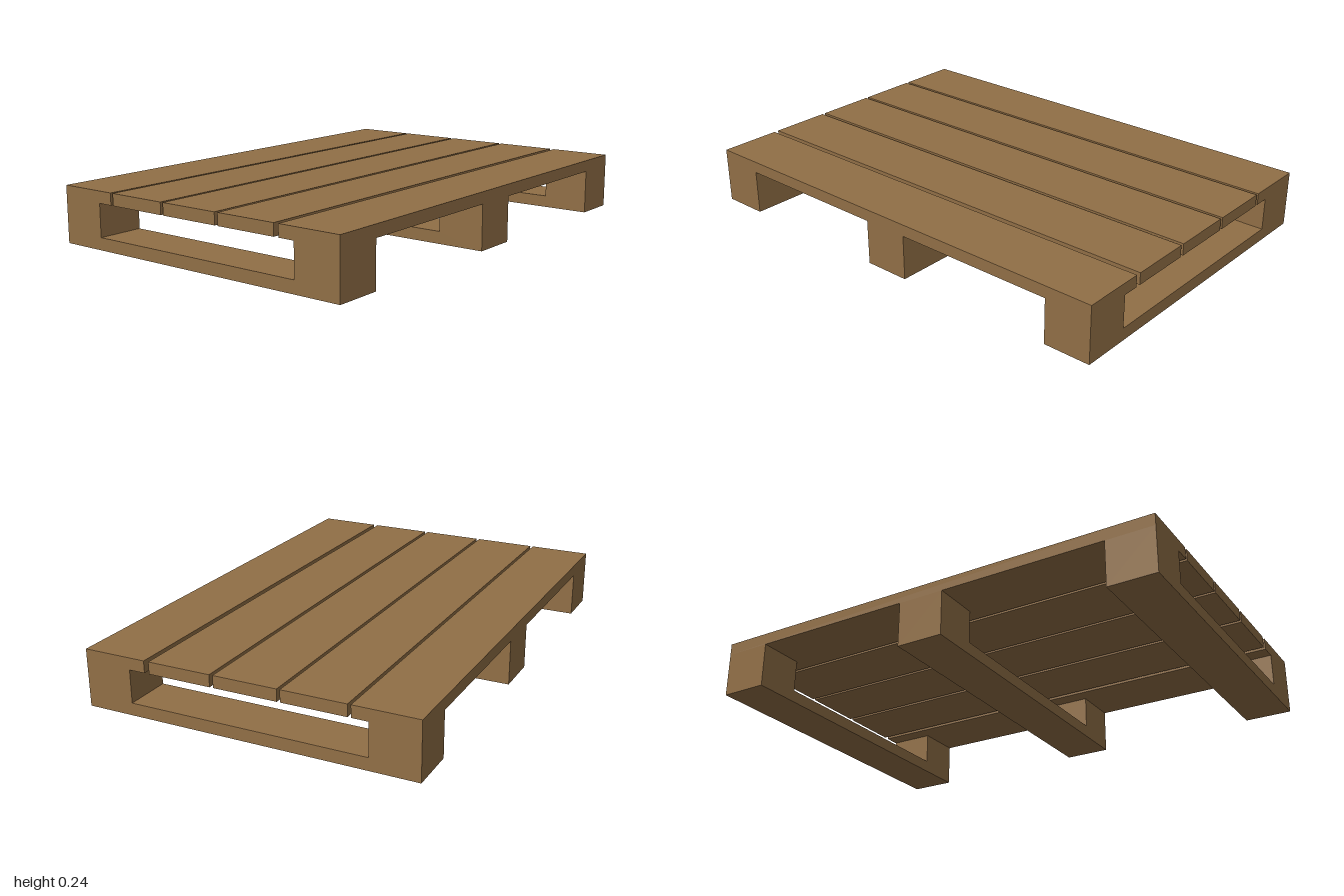
import * as THREE from 'three';

export function createModel() {
  const group = new THREE.Group();
  group.name = 'pallet';

  const wood = new THREE.MeshStandardMaterial({ color: 0x916f46 });
  wood.name = 'wood brown';

  const deckBottom = 0.19, deckTop = 0.24;

  // Deck boards running front to back: [left edge, right edge]
  const boards = [[-0.7, -0.433], [-0.42, -0.153], [-0.14, 0.127], [0.142, 0.41], [0.431, 0.7]];
  boards.forEach(([x0, x1], i) => {
    const board = new THREE.Mesh(new THREE.BoxGeometry(x1 - x0, deckTop - deckBottom, 2), wood);
    board.position.set((x0 + x1) / 2, (deckBottom + deckTop) / 2, 0);
    board.name = `deckBoard${i + 1}`;
    group.add(board);
  });

  // U-shaped runners: a bottom board with a block at each end
  const profile = new THREE.Shape([
    [-0.7, 0], [0.7, 0], [0.7, deckBottom], [0.5, deckBottom],
    [0.5, 0.052], [-0.5, 0.052], [-0.5, deckBottom], [-0.7, deckBottom],
  ].map(([x, y]) => new THREE.Vector2(x, y)));
  const runnerGeometry = new THREE.ExtrudeGeometry(profile, { depth: 0.2, bevelEnabled: false });
  runnerGeometry.translate(0, 0, -0.1);
  [['frontRunner', 0.9], ['middleRunner', 0], ['backRunner', -0.9]].forEach(([name, z]) => {
    const runner = new THREE.Mesh(runnerGeometry, wood);
    runner.position.z = z;
    runner.name = name;
    group.add(runner);
  });

  return group;
}
